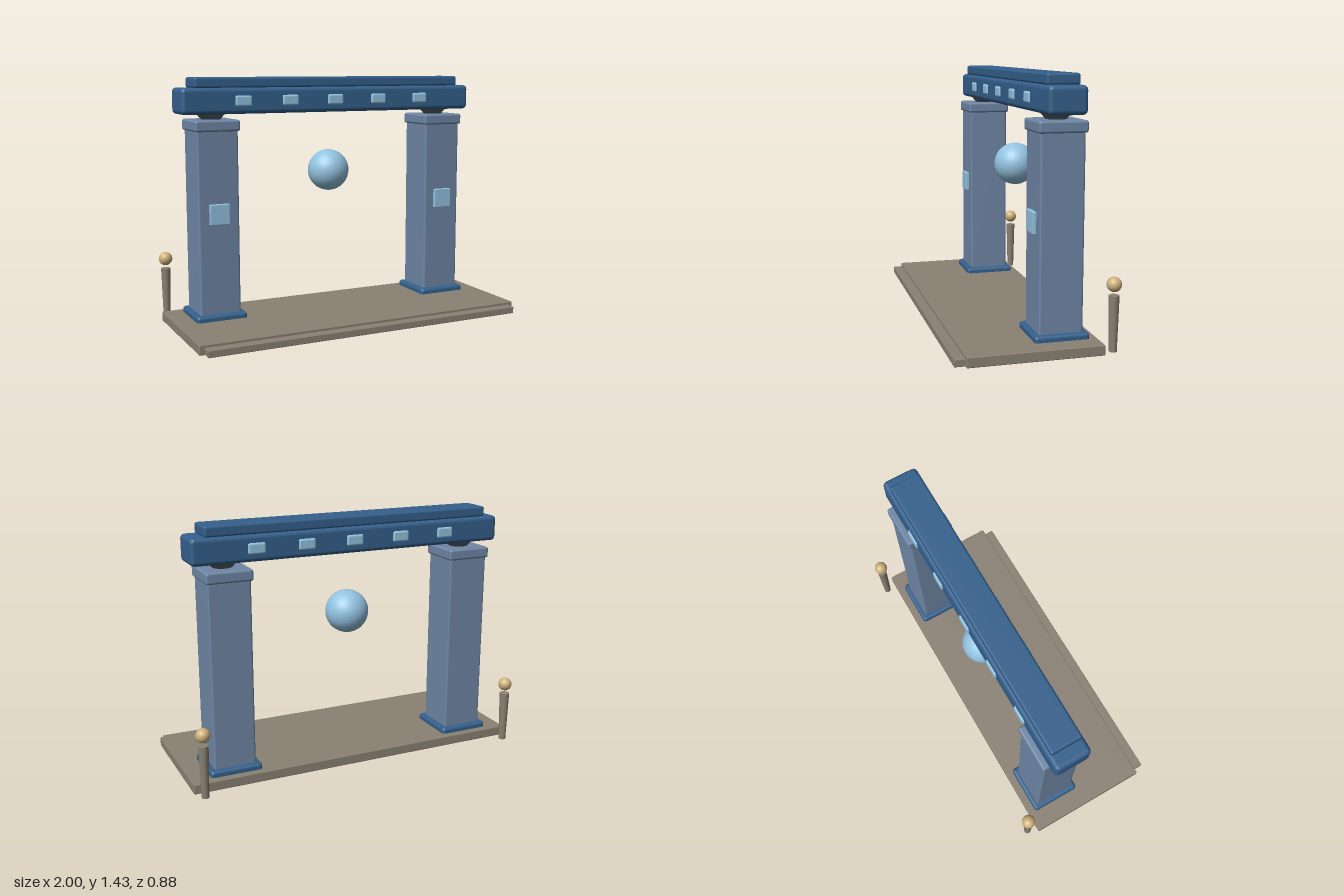
import * as THREE from 'three';
import { RoundedBoxGeometry } from 'three/addons/geometries/RoundedBoxGeometry.js';

const material = (color) => new THREE.MeshStandardMaterial({ color });

export function createModel() {
  const model = new THREE.Group();
  model.name = 'gateway';
  const stone = material(0x8a8173);
  const slate = material(0x6f87a6);
  const blue = material(0x34608c);
  const crystal = material(0x93c3e0);
  const gold = material(0xcfb27c);
  const iron = material(0x55606a);
  const gateZ = -0.153;

  function add(parent, name, geometry, mat, x, y, z) {
    const mesh = new THREE.Mesh(geometry, mat);
    mesh.name = name;
    mesh.position.set(x, y, z);
    parent.add(mesh);
    return mesh;
  }

  // Softly bevelled block standing from y0 to y1
  function block(parent, name, mat, w, y0, y1, d, x, z, bevel) {
    const geometry = new RoundedBoxGeometry(w, y1 - y0, d, 2, bevel);
    return add(parent, name, geometry, mat, x, (y0 + y1) / 2, z);
  }

  // Platform and front step
  block(model, 'platform', stone, 2, 0, 0.056, 0.73, 0, 0.02, 0.005);
  block(model, 'frontStep', stone, 1.94, 0, 0.04, 0.1, 0, 0.392, 0.004);

  for (const side of [-1, 1]) {
    const label = side > 0 ? 'left' : 'right';

    // Pillar with plinth, capital, inset panel and neck
    const pillar = new THREE.Group();
    pillar.name = label + 'Pillar';
    pillar.position.set(side * 0.738, 0, gateZ);
    model.add(pillar);
    block(pillar, 'plinth', blue, 0.3, 0.004, 0.09, 0.3, 0, 0, 0.018);
    block(pillar, 'shaft', slate, 0.242, 0.06, 1.15, 0.242, 0, 0, 0.012);
    block(pillar, 'capital', slate, 0.264, 1.133, 1.197, 0.266, 0, 0, 0.013);
    block(pillar, 'panel', crystal, 0.118, 0.608, 0.726, 0.03, 0, 0.125, 0.005);
    add(pillar, 'neck', new THREE.CylinderGeometry(0.088, 0.05, 0.046, 24), iron, 0, 1.213, 0);

    // Lantern post behind the platform corner
    const post = new THREE.Group();
    post.name = label + 'LanternPost';
    post.position.set(side * 0.955, 0, -0.403);
    model.add(post);
    add(post, 'post', new THREE.CylinderGeometry(0.029, 0.021, 0.3, 12), stone, 0, 0.153, 0);
    add(post, 'lantern', new THREE.SphereGeometry(0.04, 20, 14), gold, 0, 0.361, 0);
  }

  // Crossbeam and ridge
  block(model, 'crossbeam', blue, 1.872, 1.227, 1.376, 0.21, 0, gateZ, 0.025);
  block(model, 'ridge', blue, 1.712, 1.374, 1.433, 0.18, 0, gateZ, 0.012);

  // Crystal studs running through to both faces of the beam
  for (let i = -2; i <= 2; i++) {
    for (const face of [-1, 1]) {
      block(model, face > 0 ? 'frontStud' : 'backStud', crystal,
        0.1, 1.27, 1.332, 0.03, i * 0.288, gateZ + face * 0.1, 0.012);
    }
  }

  // Floating orb
  add(model, 'orb', new THREE.SphereGeometry(0.124, 32, 20), crystal, 0, 0.872, gateZ);

  return model;
}
